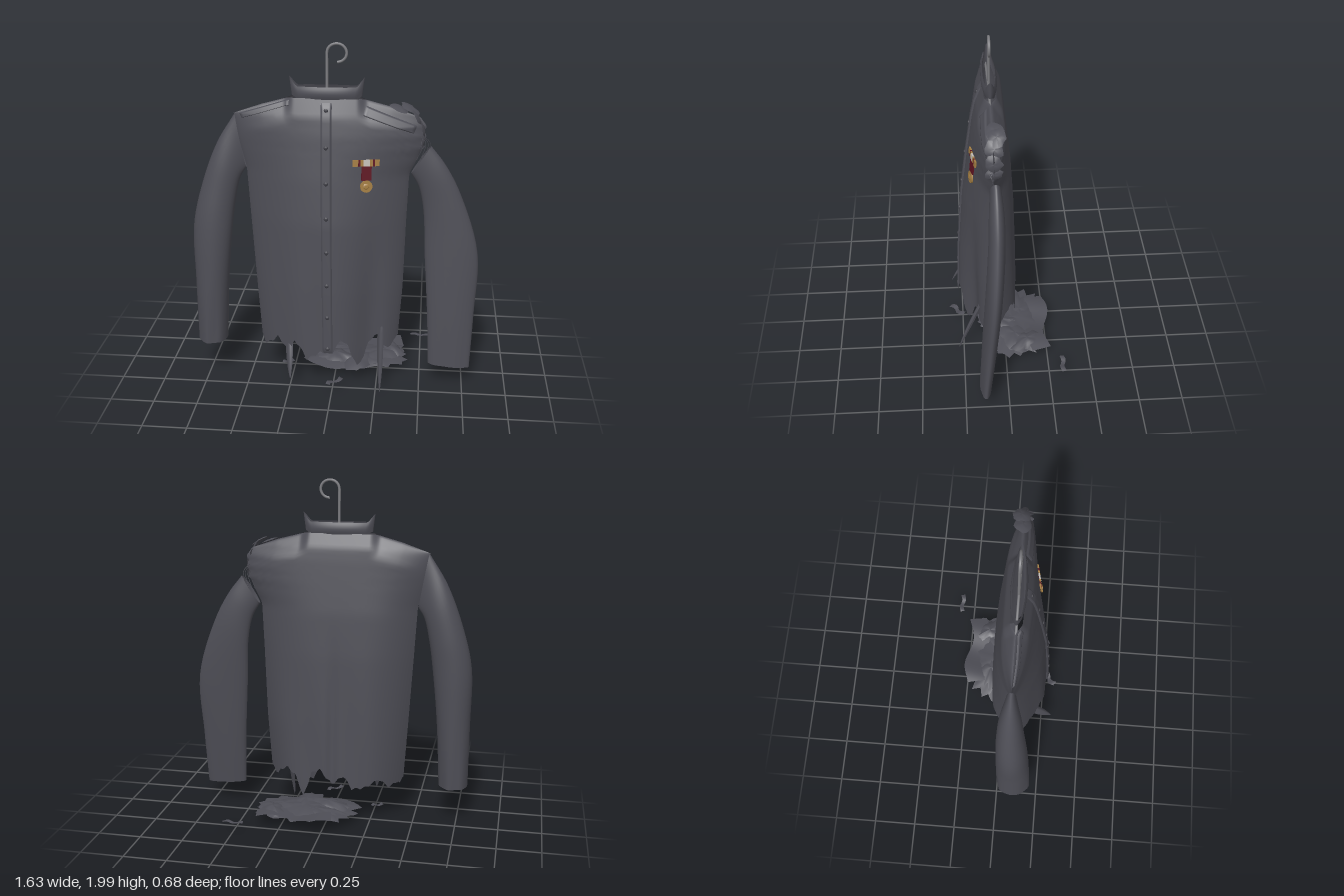
import * as THREE from 'three';

const mat = (name, color) => {
  const m = new THREE.MeshStandardMaterial({ color, side: THREE.DoubleSide });
  m.name = name;
  return m;
};

// Piecewise linear lookup in [[key, value], ...]
function look(table, k) {
  if (k <= table[0][0]) return table[0][1];
  for (let i = 1; i < table.length; i++) {
    const [a, va] = table[i - 1], [b, vb] = table[i];
    if (k <= b) return va + (vb - va) * (k - a) / (b - a);
  }
  return table[table.length - 1][1];
}
const { smoothstep: smooth, lerp, clamp } = THREE.MathUtils;

let seed = 7;
const rnd = () => (seed = (seed * 16807) % 2147483647) / 2147483647;

// Surface over a grid, fn(u, v) -> [x, y, z]
function grid(nu, nv, fn) {
  const pos = [], idx = [], w = nu + 1;
  for (let j = 0; j <= nv; j++) for (let i = 0; i <= nu; i++) pos.push(...fn(i / nu, j / nv));
  for (let j = 0; j < nv; j++) for (let i = 0; i < nu; i++) {
    const a = j * w + i;
    idx.push(a, a + 1, a + w, a + 1, a + w + 1, a + w);
  }
  const g = new THREE.BufferGeometry();
  g.setAttribute('position', new THREE.Float32BufferAttribute(pos, 3));
  g.setIndex(idx);
  g.computeVertexNormals();
  return g;
}

// Jacket outline: side edges, shoulder line, front and back depth, torn hems
const leftEdge = [[0.22, -0.43], [0.6, -0.455], [1, -0.48], [1.29, -0.497], [1.45, -0.535], [1.6, -0.56]];
const rightEdge = [[0.22, 0.365], [0.6, 0.39], [1, 0.4], [1.28, 0.41], [1.36, 0.45], [1.41, 0.465],
  [1.43, 0.495], [1.46, 0.475], [1.49, 0.5], [1.53, 0.485], [1.55, 0.5], [1.6, 0.465]];
const shoulder = [[0, 1.6], [0.15, 1.655], [0.31, 1.7], [0.68, 1.7], [0.85, 1.655], [1, 1.6]];
const frontZ = [[0.2, 0.27], [0.6, 0.255], [1, 0.23], [1.25, 0.2], [1.5, 0.165], [1.6, 0.145], [1.7, 0.105]];
const backZ = [[0.2, -0.08], [0.6, -0.07], [1, -0.058], [1.25, -0.043], [1.55, -0.01], [1.62, 0], [1.7, 0.035]];
const frontHem = [[-0.435, 0.27], [-0.41, 0.21], [-0.37, 0.24], [-0.32, 0.29], [-0.26, 0.21], [-0.22, 0.29],
  [-0.19, 0.27], [-0.15, 0.19], [-0.07, 0.24], [0, 0.24], [0.05, 0.33], [0.09, 0.28], [0.14, 0.14],
  [0.18, 0.19], [0.2, 0.28], [0.25, 0.32], [0.28, 0.24], [0.33, 0.23], [0.37, 0.31]];
const backHem = [[-0.43, 0.25], [-0.36, 0.22], [-0.3, 0.28], [-0.22, 0.23], [-0.15, 0.22], [-0.1, 0.3], [-0.03, 0.24],
  [0.04, 0.33], [0.09, 0.3], [0.14, 0.15], [0.19, 0.28], [0.25, 0.32], [0.33, 0.24], [0.37, 0.3]];

// Depth of the cloth at x, y; side is 1 for the front and -1 for the back
function clothZ(x, y, side) {
  const L = look(leftEdge, y), R = look(rightEdge, y);
  const u = clamp((x - L) / (R - L), 0, 1), s = Math.abs(2 * u - 1);
  const mid = 0.07 + 0.02 * (1 - smooth(y, 0.2, 1.3));
  const depth = look(side > 0 ? frontZ : backZ, y) - mid;
  const close = Math.sqrt(clamp((look(shoulder, u) - y) / 0.12, 0, 1));
  const neck = smooth(u, 0.27, 0.33) * (1 - smooth(u, 0.66, 0.72));
  const low = 1 - smooth(y, 0.3, 1.25), edge = 1 - s * s;
  const fold = side > 0
    ? -0.065 * Math.exp(-(((x - 0.23) / 0.08) ** 2)) + 0.005 * Math.sin(x * 28 + y * 2)
    : 0.016 * Math.exp(-(((x + 0.03) / 0.03) ** 2)) + 0.005 * Math.sin(x * 24 - y * 3);
  const bulge = side > 0 ? Math.pow(edge, 0.85) : 1 - Math.pow(s, 3.5);
  return mid + depth * bulge * lerp(close, 1, neck) + fold * low * edge;
}

function panel(side, hem) {
  return grid(110, 44, (u, v) => {
    const tooth = 0.016 * (Math.abs((u * 31) % 2 - 1) - 0.5);
    const yB = look(hem, lerp(-0.43, 0.365, u)) + tooth;
    const y = lerp(yB, look(shoulder, u), 1 - Math.pow(1 - v, 1.6));
    const x = lerp(look(leftEdge, y), look(rightEdge, y), u);
    return [x, y, clothZ(x, y, side)];
  });
}

// Patch draped on the front, corners in order bottom left, bottom right, top right, top left
function drape(c, off, nu, nv) {
  return grid(nu, nv, (u, v) => {
    const [x, y] = [0, 1].map(k => lerp(lerp(c[0][k], c[1][k], u), lerp(c[3][k], c[2][k], u), v));
    const rim = u === 0 || u === 1 || v === 0 || v === 1;
    return [x, y, clothZ(x, y, 1) + (rim ? 0.001 : off)];
  });
}

// Sleeve from rows of outer x, outer y, inner x, inner y, centre z, half depth
function sleeve(rows) {
  const curves = [0, 1].map(k => new THREE.CatmullRomCurve3(rows.map(r =>
    k ? new THREE.Vector3(r[2], r[3], r[5]) : new THREE.Vector3(r[0], r[1], r[4]))));
  return grid(28, 30, (u, v) => {
    const o = curves[0].getPoint(v), i = curves[1].getPoint(v), a = u * Math.PI * 2 + Math.PI;
    const t = (1 + Math.cos(a)) / 2;
    const pleat = 1 + 0.06 * Math.sin(a * 6) * smooth(v, 0.75, 1);
    return [lerp(i.x, o.x, t), lerp(i.y, o.y, t), o.z + Math.sin(a) * i.z * pleat];
  });
}

// Ragged disc of cloth lying flat
function rag(rx, rz, bump, n = 26) {
  const edge = Array.from({ length: n }, () => 0.78 + 0.3 * rnd()), ph = rnd() * 6;
  return grid(n, 6, (u, v) => {
    const a = -u * Math.PI * 2, r = v * lerp(1, edge[Math.round(u * n) % n], v);
    const y = bump * ((1 - v * v) * 0.8 + 0.25 * v * (1 - v * 0.6) * Math.sin(a * 4 + ph + v * 3));
    return [Math.cos(a) * r * rx, y, Math.sin(a) * r * rz];
  });
}

// Wavy ribbon of cloth lying flat
const ribbon = (len, wide, wave, lift) => grid(24, 3, (u, v) => [
  (u - 0.5) * len + (v - 0.5) * wide * 0.2,
  lift * Math.sin(u * 9 + v), (v - 0.5) * wide + wave * Math.sin(u * 7.5 + 2.6)]);

export function createModel() {
  const root = new THREE.Group();
  root.name = 'tatteredJacket';
  const cloth = mat('charcoal cloth', 0x4e4e56);
  const trim = mat('dark button', 0x414148);
  const steel = mat('hanger steel', 0x7c7c80);
  const red = mat('ribbon red', 0x5e1220);
  const gold = mat('medal gold', 0xa37d42);
  const pale = mat('ribbon white', 0xc4beb8);
  const add = (name, geo, m, p = [0, 0, 0], r = [0, 0, 0]) => {
    const mesh = new THREE.Mesh(geo, m);
    mesh.name = name;
    mesh.position.set(...p);
    mesh.rotation.set(...r);
    root.add(mesh);
  };

  // Body and sleeves
  add('frontPanel', panel(1, frontHem), cloth);
  add('backPanel', panel(-1, backHem), cloth);
  add('rightSleeve', sleeve([[-0.555, 1.6, -0.5, 1.29, 0.07, 0.025], [-0.66, 1.43, -0.535, 1.23, 0.07, 0.055],
    [-0.75, 1.2, -0.565, 1.1, 0.075, 0.075], [-0.81, 0.95, -0.588, 0.93, 0.085, 0.088],
    [-0.812, 0.6, -0.62, 0.6, 0.095, 0.097], [-0.81, 0.23, -0.64, 0.23, 0.1, 0.1]]), cloth);
  add('leftSleeve', sleeve([[0.525, 1.44, 0.42, 1.28, 0.062, 0.03], [0.61, 1.33, 0.465, 1.2, 0.06, 0.04],
    [0.7, 1.16, 0.495, 1.06, 0.062, 0.045], [0.808, 0.82, 0.51, 0.8, 0.08, 0.046],
    [0.802, 0.45, 0.535, 0.45, 0.108, 0.042], [0.79, 0.12, 0.55, 0.135, 0.135, 0.033]]), cloth);

  // Stand collar with raised tips
  add('collar', grid(64, 6, (u, v) => {
    const a = u * Math.PI * 2, c = Math.cos(a), e = Math.abs(c);
    const top = 1.762 + 0.052 * clamp((e - 0.8) / 0.2, 0, 1), bottom = 1.686 + 0.025 * smooth(e, 0.75, 1);
    return [-0.045 + c * lerp(0.192, 0.205, v), lerp(bottom, top, v),
      0.07 + Math.sin(a) * (0.034 + 0.01 * Math.sin(v * Math.PI))];
  }), cloth);

  // Placket, buttons and shoulder straps
  add('placket', drape([[-0.055, 0.24], [0.003, 0.24], [-0.014, 1.68], [-0.074, 1.68]], 0.0095, 10, 70), cloth);
  for (let i = 0; i < 8; i++) {
    const y = 0.27 + i * 0.196, x = lerp(-0.026, -0.044, i / 7);
    add('button', new THREE.SphereGeometry(0.012, 12, 8).scale(1, 1, 0.5), trim, [x, y, clothZ(x, y, 1) + 0.0095]);
  }
  add('leftShoulderStrap', drape([[0.155, 1.615], [0.43, 1.515], [0.447, 1.558], [0.168, 1.665]], 0.0095, 30, 12), cloth);
  add('rightShoulderStrap', drape([[-0.515, 1.575], [-0.25, 1.66], [-0.25, 1.69], [-0.53, 1.602]], 0.0095, 30, 12), cloth);

  // Medal on its ribbon bar
  const front = (x, y, off) => [x, y, clothZ(x, y, 1) + off];
  [[gold, 0.12, 0.03], [red, 0.141, 0.012], [gold, 0.155, 0.016], [pale, 0.18, 0.034], [gold, 0.205, 0.016],
    [red, 0.219, 0.012], [gold, 0.237, 0.024]].forEach(([m, x, w]) =>
    add('ribbonBar', new THREE.BoxGeometry(w * 1.06, 0.036, 0.009), m, front(x, 1.365, 0.006), [-0.1, 0.25, 0]));
  add('medalRibbon', new THREE.BoxGeometry(0.056, 0.085, 0.008), red, front(0.18, 1.31, 0.006), [-0.1, 0.25, 0]);
  const disc = [Math.PI / 2 - 0.1, 0, -0.25];
  add('medalDisc', new THREE.CylinderGeometry(0.034, 0.034, 0.009, 20), gold, front(0.18, 1.235, 0.009), disc);
  add('medalBoss', new THREE.CylinderGeometry(0.012, 0.022, 0.006, 5), gold, front(0.18, 1.235, 0.015), disc);

  // Wire hanger
  const wire = [[-0.045, 1.6], [-0.045, 1.8], [-0.045, 1.92]];
  for (let i = 0; i <= 10; i++) {
    const a = Math.PI - i * 0.465;
    wire.push([0.008 + 0.053 * Math.cos(a), 1.943 + 0.05 * Math.sin(a)]);
  }
  const tube = (pts, r, n) => new THREE.TubeGeometry(
    new THREE.CatmullRomCurve3(pts.map(p => new THREE.Vector3(p[0], p[1], p[2] ?? 0.07))), n, r, 8);
  add('hangerHook', tube(wire, 0.0075, 90), steel);
  add('hangerArms', tube([[-0.5, 1.55], [-0.25, 1.61], [-0.045, 1.65], [0.2, 1.61], [0.475, 1.54]], 0.007, 40), steel);

  // Torn flaps and threads at the open shoulder
  [[0.35, 1.645, 0.06, -0.35, 0.06], [0.405, 1.645, 0.05, -0.5, 0.06], [0.445, 1.6, 0.065, -1.05, 0.055],
    [0.478, 1.535, 0.07, -1.35, 0.05], [0.478, 1.47, 0.07, -1.5, 0.035]].forEach(([x, y, z, tilt, w]) =>
    add('tornFlap', rag(w, 0.05, 0.014, 14), cloth, [x, y, z], [0.15, 0, tilt]));
  for (let i = 0; i < 5; i++) {
    const x = 0.46 + 0.012 * i;
    add('thread', tube([[x - 0.02, 1.5, 0.06 + 0.01 * i], [x + 0.012, 1.46, 0.08], [0.43 + 0.02 * i, 1.36, 0.07]], 0.0015, 10), cloth);
  }

  // Long folded strips hanging from the hem: top, tip, width
  [[[-0.262, 0.3, 0.17], [-0.24, 0.09, 0.31], 0.045], [[0.27, 0.37, 0.13], [0.276, 0.008, 0.278], 0.038]].forEach(([a, b, w]) =>
    add('hangingStrip', grid(4, 8, (u, v) => {
      const taper = 1 - Math.pow(v, 3) * 0.9;
      return [lerp(a[0], b[0], v) + (u - 0.5) * w * taper, lerp(a[1], b[1], v) + (u - 0.5) * w * 0.5 * taper,
        lerp(a[2], b[2], v) + (0.025 * Math.sin(u * Math.PI) + (u - 0.5) * 0.02) * taper];
    }), cloth));

  // Fallen scraps below
  add('scrapPile', rag(0.32, 0.2, 0.04, 36), cloth, [0.12, 0.064, -0.05]);
  [[0.05, -0.1, 0.17, 0.1], [0.26, -0.06, 0.18, 0.11], [0.14, 0.02, 0.16, 0.09], [0.31, -0.13, 0.12, 0.08], [0, 0, 0.15, 0.08]].forEach(
    ([x, z, rx, rz], i) => add('scrap', rag(rx, rz, 0.035), cloth, [x, 0.068 + 0.003 * i, z], [0, i * 0.7, 0]));
  add('scrapBand', ribbon(0.44, 0.11, 0.022, 0.01), cloth, [0.17, 0.085, -0.2]);
  add('looseScrap', ribbon(0.12, 0.026, 0.006, 0.004), cloth, [0.5, 0.068, -0.33]);
  add('looseScrap', ribbon(0.11, 0.03, 0.01, 0.004), cloth, [0.015, 0.068, 0.285], [0, 0.75, 0]);
  add('looseScrap', ribbon(0.07, 0.028, 0.008, 0.004), cloth, [-0.28, 0.068, 0.08], [0, 0.5, 0]);
  return root;
}
